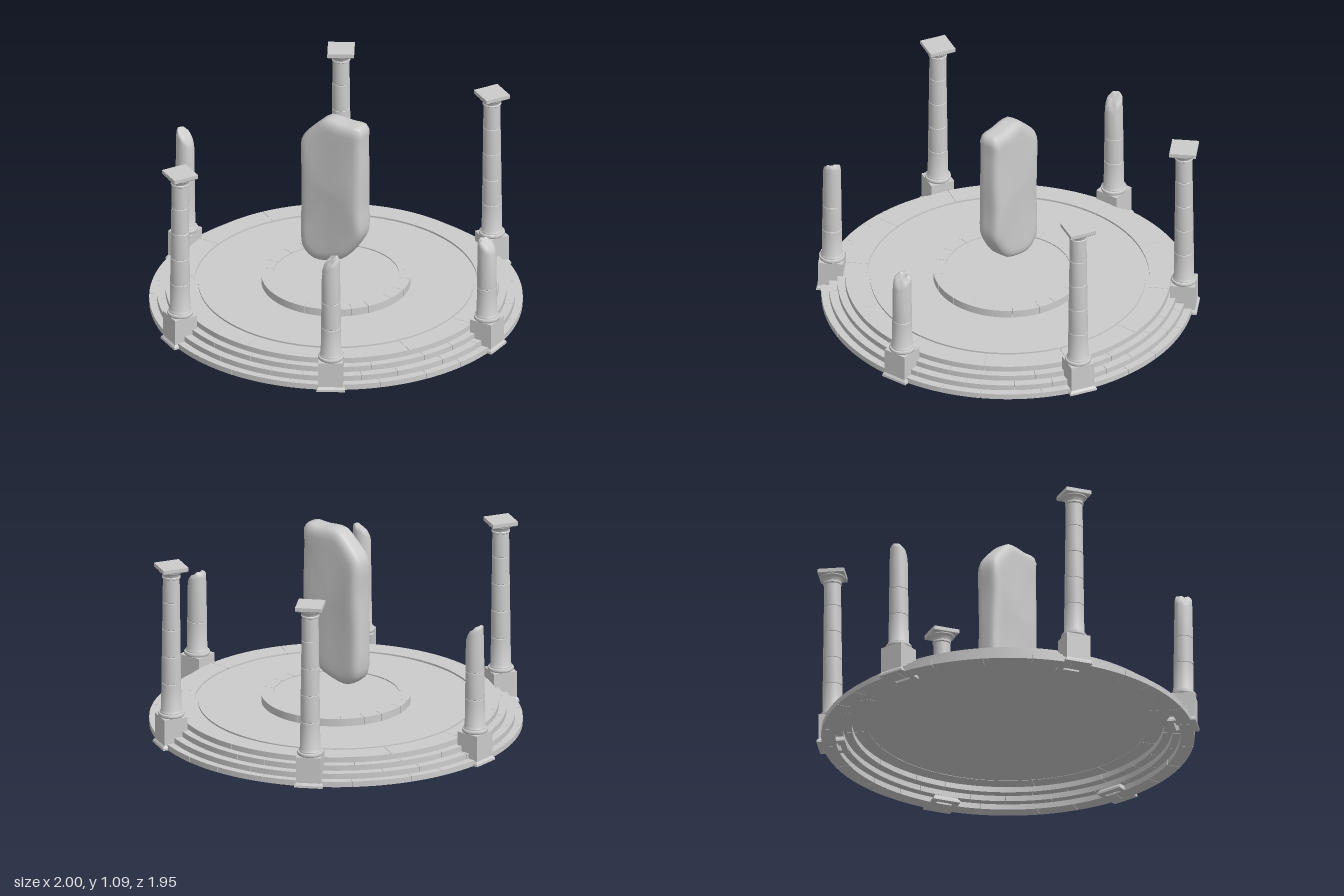
import * as THREE from 'three';
import { toCreasedNormals } from 'three/addons/utils/BufferGeometryUtils.js';

const stone = new THREE.MeshStandardMaterial({ color: 0xcccccc });
const thinStone = new THREE.MeshStandardMaterial({ color: 0xcccccc, side: THREE.DoubleSide });
const V2 = (p) => new THREE.Vector2(p[0], p[1]);

function mesh(name, geometry, material = stone) {
  const m = new THREE.Mesh(geometry, material);
  m.name = name;
  return m;
}

const turned = (points, sides = 24) =>
  toCreasedNormals(new THREE.LatheGeometry(points.map(V2), sides), 0.6);

// Square moulding: a four-sided lathe whose profile gives half widths
function squared(points) {
  const g = new THREE.LatheGeometry(points.map(([w, y]) => V2([w * Math.SQRT2, y])), 4);
  g.rotateY(Math.PI / 4);
  return toCreasedNormals(g, 0.3);
}

// Ring of separate curved stones with fine joints
function stoneRing(name, inner, outer, y0, y1, count, start, uneven = 0) {
  const ring = new THREE.Group();
  ring.name = name;
  const joint = (i) => start + ((i % count) + uneven * Math.sin((i % count) * 2.7)) * Math.PI * 2 / count
    + (i >= count ? Math.PI * 2 : 0);
  for (let i = 0; i < count; i++) {
    const a = joint(i) + 0.001 / outer, b = joint(i + 1) - 0.001 / outer;
    const s = new THREE.Shape();
    s.absarc(0, 0, outer, a, b, false);
    s.absarc(0, 0, inner, b, a, true);
    const g = new THREE.ExtrudeGeometry(s, { depth: y1 - y0, bevelEnabled: false, curveSegments: 8 });
    g.rotateX(-Math.PI / 2).translate(0, y0, 0);
    ring.add(mesh(name + 'Stone', toCreasedNormals(g, 0.5)));
  }
  return ring;
}

function disc(name, radius, y0, y1) {
  const g = new THREE.CylinderGeometry(radius, radius, y1 - y0, 96);
  return mesh(name, g.translate(0, (y0 + y1) / 2, 0));
}

// Shaft outline with shallow drum joints, tapering upward
const shaftRadius = (y) => 0.054 - 0.01 * (y - 0.19) / 0.75;
function shaftProfile(top) {
  const pts = [[0.06, 0.19], [shaftRadius(0.2), 0.2]];
  for (const y of [0.35, 0.5, 0.65, 0.8]) {
    if (y > top - 0.08) break;
    const r = shaftRadius(y);
    pts.push([r, y - 0.002], [r - 0.002, y], [r, y + 0.002]);
  }
  pts.push([shaftRadius(top), top]);
  return pts;
}

// Broken shaft: the rounded top is tilted toward a direction
function brokenShaft(top, slope, dx, dz) {
  const low = top - 0.1;
  const pts = shaftProfile(low);
  const r = shaftRadius(top);
  for (const [k, h] of [[1, 0.02], [1, 0.04], [0.97, 0.052], [0.85, 0.062], [0.6, 0.068], [0.3, 0.066], [0, 0.063]])
    pts.push([r * k, low + h]);
  const g = new THREE.LatheGeometry(pts.map(V2), 24);
  const p = g.attributes.position;
  for (let i = 0; i < p.count; i++) {
    const x = p.getX(i), z = p.getZ(i), y = p.getY(i);
    const t = THREE.MathUtils.smoothstep(y, low - 0.01, low + 0.05);
    const d = (x * dx + z * dz) / r;
    const chip = 0.005 * Math.sin(x * 150 + 1) * Math.cos(z * 130);
    p.setY(i, y + t * (slope * d - 0.012 * d * d + chip));
  }
  return toCreasedNormals(g, 0.7);
}

// Pedestal and column; local +x points away from the centre
function column(angleDeg, broken) {
  const a = THREE.MathUtils.degToRad(angleDeg);
  const g = new THREE.Group();
  g.name = broken ? 'brokenColumn' : 'column';
  g.position.set(0.925 * Math.cos(a), 0, 0.925 * Math.sin(a));
  g.rotation.y = -a;
  g.add(mesh('pedestal', squared([[0.045, 0.03], [0.045, 0], [0.075, 0], [0.074, 0.012],
    [0.065, 0.024], [0.065, 0.165], [0, 0.165]]), thinStone));
  g.add(mesh('columnBase', turned([[0.064, 0.163], [0.068, 0.168], [0.069, 0.175], [0.067, 0.182],
    [0.06, 0.185], [0.06, 0.19], [0.05, 0.192]])));
  if (broken) {
    g.add(mesh('brokenShaft', brokenShaft(...broken)));
    return g;
  }
  g.add(mesh('shaft', turned(shaftProfile(0.94))));
  g.add(mesh('capital', turned([[0.044, 0.93], [0.049, 0.934], [0.049, 0.94], [0.046, 0.944],
    [0.049, 0.955], [0.057, 0.965], [0.065, 0.97], [0.066, 0.977]])));
  g.add(mesh('abacus', squared([[0, 0.975], [0.066, 0.975], [0.07, 0.98], [0.07, 1], [0, 1]])));
  return g;
}

// Floating slab: one rounded outline lofted through inset rings, front to back
function slabGeometry() {
  const outline = [[-0.14, 0.255], [-0.09, 0.24], [0.05, 0.278], [0.09, 0.31], [0.16, 0.41], [0.181, 0.46],
    [0.18, 0.62], [0.184, 0.8], [0.18, 1.0], [0.181, 1.06], [0.162, 1.084], [0.08, 1.083], [-0.01, 1.09],
    [-0.05, 1.083], [-0.09, 1.05], [-0.175, 0.96], [-0.189, 0.92], [-0.186, 0.75], [-0.19, 0.55],
    [-0.19, 0.36], [-0.178, 0.295]];
  const curve = new THREE.CatmullRomCurve3(outline.map(([x, y]) => new THREE.Vector3(x, y, 0)), true);
  const n = 72, ring = curve.getSpacedPoints(n).slice(0, n);
  const half = [[0.19, 0.067], [0.13, 0.067], [0.08, 0.068], [0.045, 0.068], [0.025, 0.064], [0.01, 0.054],
    [0.002, 0.04], [0, 0.02]];
  const rows = [...half, ...half.map(([i, z]) => [i, -z]).reverse()];
  const pos = [], idx = [];
  rows.forEach(([inset, z], k) => ring.forEach((p, j) => {
    const x = p.x * (1 - inset / 0.19), y = 0.67 + (p.y - 0.67) * (1 - inset / 0.19 * (inset > 0.1 ? 1 : 0.6));
    const wave = 1 + 0.05 * Math.sin(y * 11 + x * 6) + 0.02 * Math.sin(x * 25);
    pos.push(x, y, z * wave);
    if (k === rows.length - 1) return;
    const a = k * n + j, c = k * n + (j + 1) % n;
    idx.push(a, a + n, c, a + n, c + n, c);
  }));
  const g = new THREE.BufferGeometry();
  g.setAttribute('position', new THREE.Float32BufferAttribute(pos, 3));
  g.setIndex(idx);
  g.computeVertexNormals();
  return g;
}

export function createModel() {
  const model = new THREE.Group();
  model.name = 'ruinedStoneCircle';

  // Three steps of curved stones
  [[0.90, 0.975], [0.86, 0.935], [0.815, 0.89]].forEach(([inner, outer], i) =>
    model.add(stoneRing('step', inner, outer, i * 0.03, i * 0.03 + 0.03, 24, i * 0.4, 0.15)));

  // Platform: border stones, groove and floor
  model.add(stoneRing('platformBorder', 0.738, 0.85, 0.09, 0.12, 12, Math.PI / 6 - 0.03));
  model.add(disc('grooveBed', 0.745, 0.092, 0.11));
  model.add(disc('floor', 0.72, 0.095, 0.119));

  // Central dais
  model.add(stoneRing('daisRim', 0.33, 0.39, 0.11, 0.16, 20, 0.1, 0.12));
  model.add(disc('daisFloor', 0.331, 0.11, 0.154));

  // Three whole columns and three broken ones (height, slope, high direction)
  for (const angle of [120, 240, 300]) model.add(column(angle));
  model.add(column(0, [0.645, 0.03, -1, 0]));
  model.add(column(180, [0.765, 0.045, 1, 0]));
  model.add(column(60, [0.775, 0.035, -0.25, -0.96]));

  model.add(mesh('floatingSlab', slabGeometry()));
  return model;
}
